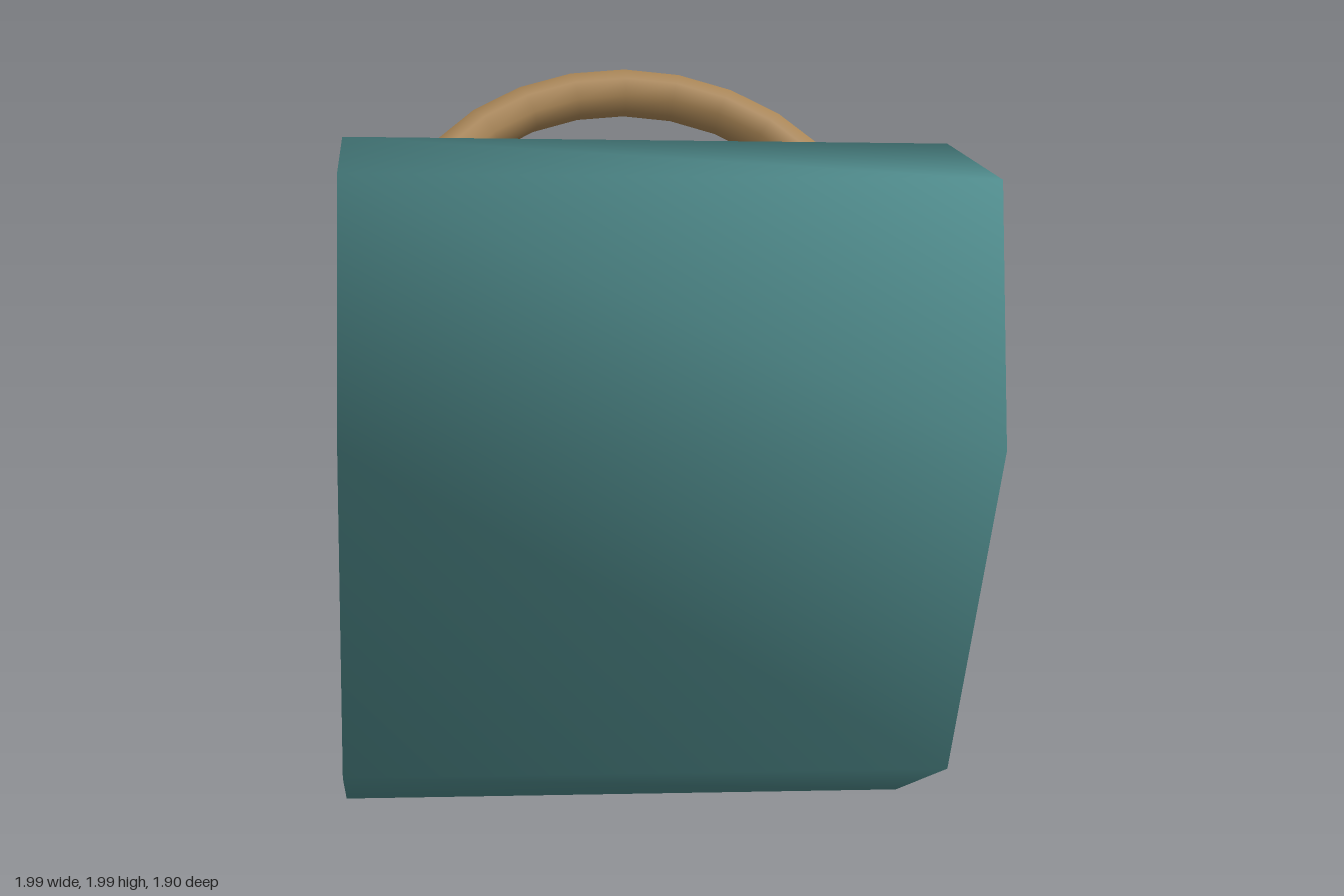
import * as THREE from 'three';

// Direction and length of the body's long axis
const AXIS = new THREE.Vector3(1.46, -0.04, -0.57);

// Hexagonal end section at the model's right end
const SECTION = [
  [-1, 0.46, -0.36], [-0.75, 1.92, 0.17], [-0.53, 1.92, 0.74],
  [-0.47, 1.31, 0.94], [-0.63, 0.35, 0.6], [-0.85, 0.045, 0.06],
];

// Closed six-sided prism with shared corners, so the shading runs smoothly round it
function prismGeometry(section, axis) {
  const n = section.length;
  const far = section.map(([x, y, z]) => [x + axis.x, y + axis.y, z + axis.z]);
  const index = [];
  for (let i = 0; i < n; i++) {
    const j = (i + 1) % n;
    index.push(i, j, j + n, i, j + n, i + n);
  }
  for (let i = 1; i < n - 1; i++) {
    index.push(0, i + 1, i);
    index.push(n, n + i, n + i + 1);
  }
  const geometry = new THREE.BufferGeometry();
  geometry.setAttribute('position', new THREE.Float32BufferAttribute([...section, ...far].flat(), 3));
  geometry.setIndex(index);
  geometry.computeVertexNormals();
  return geometry;
}

export function createModel() {
  const model = new THREE.Group();
  const teal = new THREE.MeshStandardMaterial({ name: 'teal', color: 0x4f8a8b });
  const tan = new THREE.MeshStandardMaterial({ name: 'tan', color: 0xa98555 });

  // Tilted body
  const body = new THREE.Mesh(prismGeometry(SECTION, AXIS), teal);
  body.name = 'body';
  model.add(body);

  // Arched handle standing out of the back face, its feet sunk into the body
  const radius = 0.65, tube = 0.067;
  const overrun = THREE.MathUtils.degToRad(13);
  const arc = Math.PI + 2 * overrun;
  const handle = new THREE.Group();
  handle.name = 'handle';
  const arch = new THREE.Mesh(new THREE.TorusGeometry(radius, tube, 8, 16, arc).rotateZ(-overrun), tan);
  arch.name = 'handleArch';
  handle.add(arch);
  for (const side of [1, -1]) {
    const end = new THREE.Mesh(new THREE.CircleGeometry(tube, 8).rotateX(Math.PI / 2), tan);
    end.name = 'handleEnd';
    end.rotation.z = -side * overrun;
    end.position.set(side * radius * Math.cos(overrun), -radius * Math.sin(overrun), 0);
    handle.add(end);
  }
  const along = AXIS.clone().normalize();
  const rise = new THREE.Vector3(-0.257, 0.707, -0.658);
  const across = along.clone().cross(rise).normalize();
  rise.crossVectors(across, along);
  handle.quaternion.setFromRotationMatrix(new THREE.Matrix4().makeBasis(along, rise, across));
  handle.position.set(-0.134, 1.47, -0.397);
  model.add(handle);

  return model;
}
